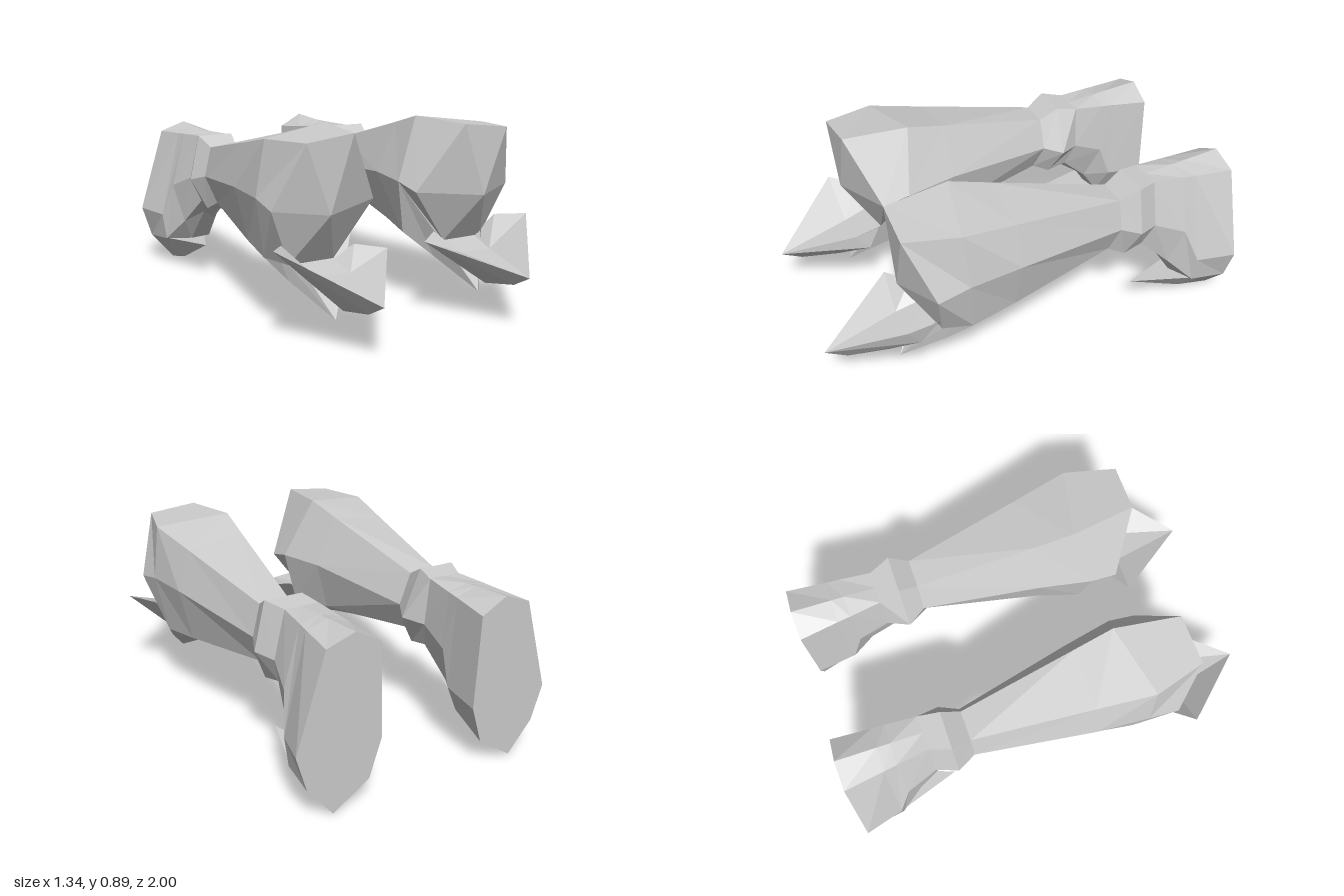
import * as THREE from 'three';
import { ConvexGeometry } from 'three/addons/geometries/ConvexGeometry.js';

const material = new THREE.MeshStandardMaterial({ color: 0xcccccc, flatShading: true });
const thin = new THREE.MeshStandardMaterial({ color: 0xcccccc, flatShading: true, side: THREE.DoubleSide });

// Triangles given as lists of corner points
function fromTriangles(tris) {
  const g = new THREE.BufferGeometry();
  g.setAttribute('position', new THREE.Float32BufferAttribute(tris.flat(2), 3));
  g.computeVertexNormals();
  return g;
}

// Skin over rings that run counter-clockwise seen from the front, ordered back to front
function loft(rings, backCentre, frontCentre) {
  const tris = [];
  const n = rings[0].length;
  const first = rings[0], last = rings[rings.length - 1];
  for (let i = 0; i < n; i++) {
    const j = (i + 1) % n;
    for (let k = 0; k < rings.length - 1; k++) {
      const a = rings[k], b = rings[k + 1];
      tris.push([a[i], a[j], b[j]], [a[i], b[j], b[i]]);
    }
    if (backCentre) tris.push([backCentre, first[j], first[i]]);
    if (frontCentre) tris.push([frontCentre, last[i], last[j]]);
  }
  return fromTriangles(tris);
}

const hull = (pts) => new ConvexGeometry(pts.map((p) => new THREE.Vector3(...p)));

// Reflection in x with the corner order restored
function mirrored(geometry) {
  const p = geometry.attributes.position, tris = [];
  const corner = (i) => [-p.getX(i), p.getY(i), p.getZ(i)];
  for (let i = 0; i < p.count; i += 3) tris.push([corner(i), corner(i + 2), corner(i + 1)]);
  return fromTriangles(tris);
}

// Leg rings: top outer, top inner, side inner, low inner, bottom, low outer, side outer
const ankle = [[.45, .735, -.6], [.29, .735, -.6], [.27, .52, -.6], [.31, .4, -.56], [.39, .385, -.52], [.46, .4, -.56], [.5, .52, -.6]];
const band = [[.49, .75, -.5], [.31, .75, -.5], [.22, .53, -.5], [.31, .38, -.46], [.38, .37, -.45], [.47, .38, -.46], [.54, .53, -.5]];
const neck = [[.465, .7, -.41], [.325, .7, -.41], [.27, .555, -.41], [.33, .42, -.38], [.39, .415, -.36], [.45, .42, -.38], [.5, .555, -.41]];
const calf = [[.545, .8, .15], [.265, .84, .15], [.16, .605, .15], [.22, .37, .15], [.387, .295, .15], [.54, .355, .15], [.6, .605, .15]];
const knee = [[.585, .85, .42], [.245, .89, .34], [.11, .6, .4], [.16, .35, .37], [.385, .25, .35], [.57, .33, .37], [.62, .6, .4]];
const front = [[.52, .855, .66], [.29, .88, .65], [.115, .57, .53], [.3, .32, .5], [.4, .32, .5], [.52, .32, .5], [.625, .57, .55]];

// Foot rings have one more point, a ridge along the top
const sole = [[.5, .72, -1], [.37, .765, -1], [.25, .7, -1], [.235, .28, -1], [.29, .11, -1], [.46, 0, -1], [.58, .14, -1], [.63, .3, -1]];
const instep = [[.476, .727, -.81], [.37, .751, -.81], [.27, .717, -.81], [.25, .3, -.81], [.33, .155, -.78], [.44, .155, -.76], [.56, .155, -.82], [.58, .29, -.82]];
const arch = [[.469, .73, -.75], [.37, .746, -.75], [.275, .722, -.75], [.26, .46, -.75], [.33, .27, -.7], [.41, .32, -.65], [.5, .27, -.7], [.54, .46, -.75]];
const footTop = [ankle[0], [.37, .735, -.6], ...ankle.slice(1)];

// Walls running from the sides of the knee down to a point
function spikeGeometry() {
  const [, , sideInner, lowInner, bottom, lowOuter, sideOuter] = knee;
  const tip = [.385, .1, .66], cornerOuter = [.51, .245, .48], cornerInner = [.26, .245, .48];
  const frontInner = front[3], frontOuter = front[5];
  return fromTriangles([
    [sideOuter, cornerOuter, lowOuter], [lowOuter, cornerOuter, bottom],
    [cornerOuter, tip, bottom], [sideOuter, tip, cornerOuter], [sideOuter, frontOuter, tip],
    [sideInner, lowInner, cornerInner], [lowInner, bottom, cornerInner],
    [cornerInner, bottom, tip], [sideInner, cornerInner, tip], [sideInner, tip, frontInner],
    [frontInner, tip, frontOuter],
  ]);
}

// Pointed, hollow guard under the knee
function guardGeometry() {
  const tip = [.375, .25, 1], keel = [.38, .195, .9], low = [.38, .155, .71], back = [.38, .19, .57];
  const outer = [.67, .435, .65], inner = [.1, .365, .62];
  const outerBack = [.575, .42, .535], innerBack = [.215, .38, .535];
  const rearOuter = [.49, .32, .49], rearInner = [.3, .32, .49];
  const floorOuter = [.46, .29, .64], floorInner = [.3, .29, .64];
  return fromTriangles([
    // hollow upper side
    [tip, outer, floorOuter], [tip, floorOuter, floorInner], [tip, floorInner, inner],
    [outer, outerBack, floorOuter], [outerBack, rearOuter, floorOuter],
    [inner, floorInner, innerBack], [innerBack, floorInner, rearInner],
    [floorOuter, rearOuter, rearInner], [floorOuter, rearInner, floorInner],
    // outer underside
    [tip, keel, outer], [keel, low, outer], [low, outerBack, outer], [low, back, outerBack],
    // inner underside
    [tip, inner, keel], [keel, inner, low], [low, inner, innerBack], [low, innerBack, back],
    // rear
    [back, rearOuter, outerBack], [back, rearInner, rearOuter], [back, innerBack, rearInner],
  ]);
}

export function createModel() {
  const parts = [
    ['foot', loft([sole, instep, arch, footTop], [.43, .4, -1]), material],
    ['ankleBand', loft([ankle, band, neck]), material],
    ['shin', loft([neck, calf, knee, front], null, [.405, .55, .655]), material],
    ['kneeSpike', spikeGeometry(), thin],
    ['kneeGuard', guardGeometry(), thin],
    // forward point under the foot
    ['footSpur', hull([[.46, .17, -.52], [.46, .04, -.82], sole[5], sole[6], sole[4], [.55, .155, -.82], [.35, .15, -.8]]), material],
  ];
  const model = new THREE.Group();
  for (const side of ['left', 'right']) {
    const leg = new THREE.Group();
    leg.name = side + 'Leg';
    for (const [name, geometry, mat] of parts) {
      const mesh = new THREE.Mesh(side === 'left' ? geometry : mirrored(geometry), mat);
      mesh.name = name;
      leg.add(mesh);
    }
    model.add(leg);
  }
  return model;
}
